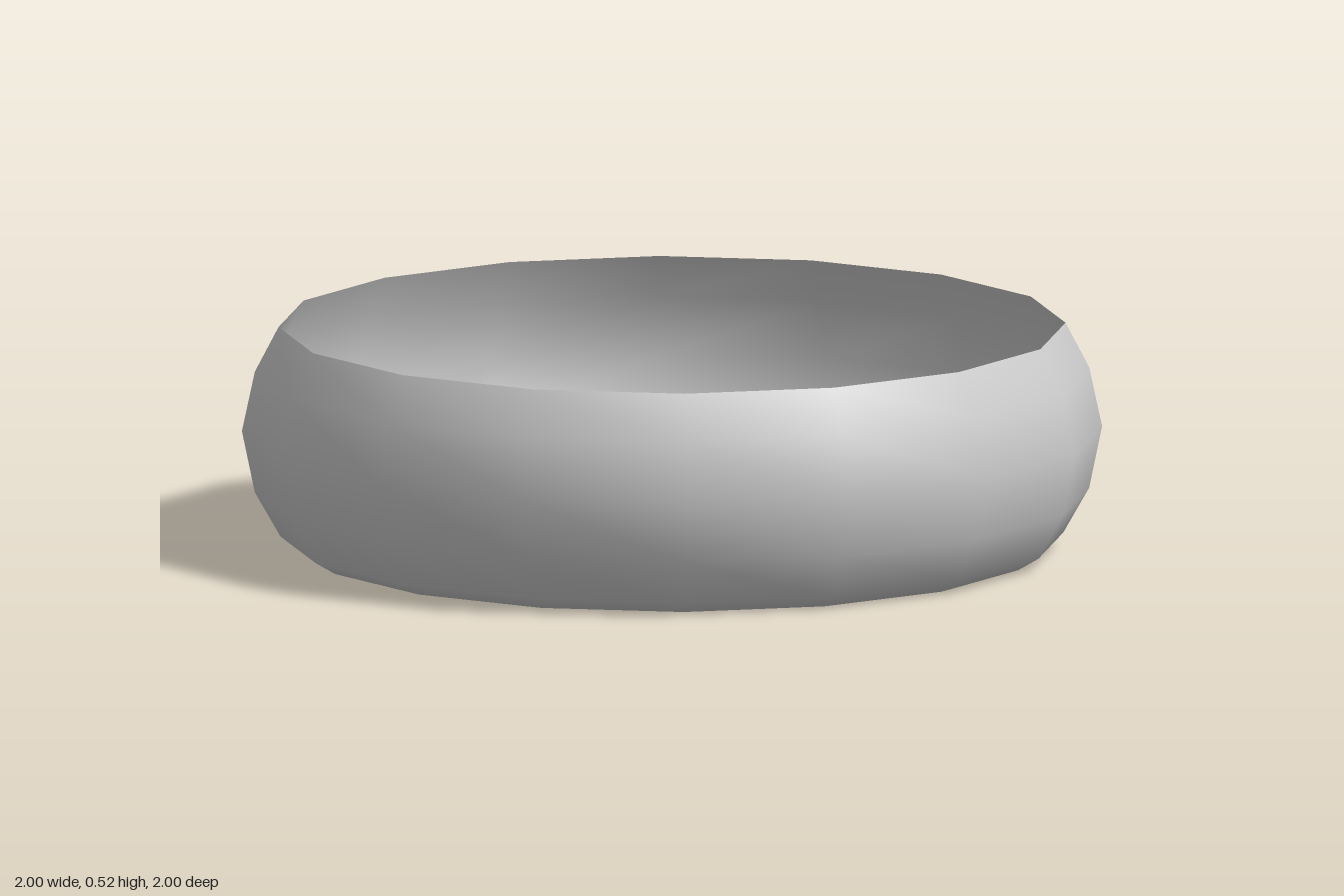
import * as THREE from 'three';
import { mergeVertices } from 'three/addons/utils/BufferGeometryUtils.js';

const SIDES = 16;
const FLOOR_RADIUS = 0.78, FLOOR_EDGE = 0.16, FLOOR_DEPTH = 0.1;

const material = new THREE.MeshStandardMaterial({ color: 0xcccccc, side: THREE.DoubleSide });

// Turned part with smooth normals all round, seam included
function turned(name, points) {
  const lathe = new THREE.LatheGeometry(points.map(([r, y]) => new THREE.Vector2(r, y)), SIDES);
  lathe.deleteAttribute('uv');
  lathe.deleteAttribute('normal');
  const geometry = mergeVertices(lathe);
  geometry.computeVertexNormals();
  const mesh = new THREE.Mesh(geometry, material);
  mesh.name = name;
  return mesh;
}

export function createModel() {
  const model = new THREE.Group();
  model.name = 'bowl';

  // Thin wall: from the floor's edge, down round the foot, up the bulging side to the rim
  model.add(turned('wall', [
    [FLOOR_RADIUS, FLOOR_EDGE], [0.785, 0.09], [0.81, 0.03], [0.86, 0],
    [0.91, 0.03], [0.97, 0.135], [1, 0.28], [0.97, 0.42], [0.915, 0.525],
  ]));

  // Shallow dished floor, lowest in the middle
  const dish = [3, 2, 1, 0].map((i) => {
    const t = i / 3;
    return [FLOOR_RADIUS * t, FLOOR_EDGE - FLOOR_DEPTH * (1 - t * t)];
  });
  model.add(turned('floor', dish));

  return model;
}
